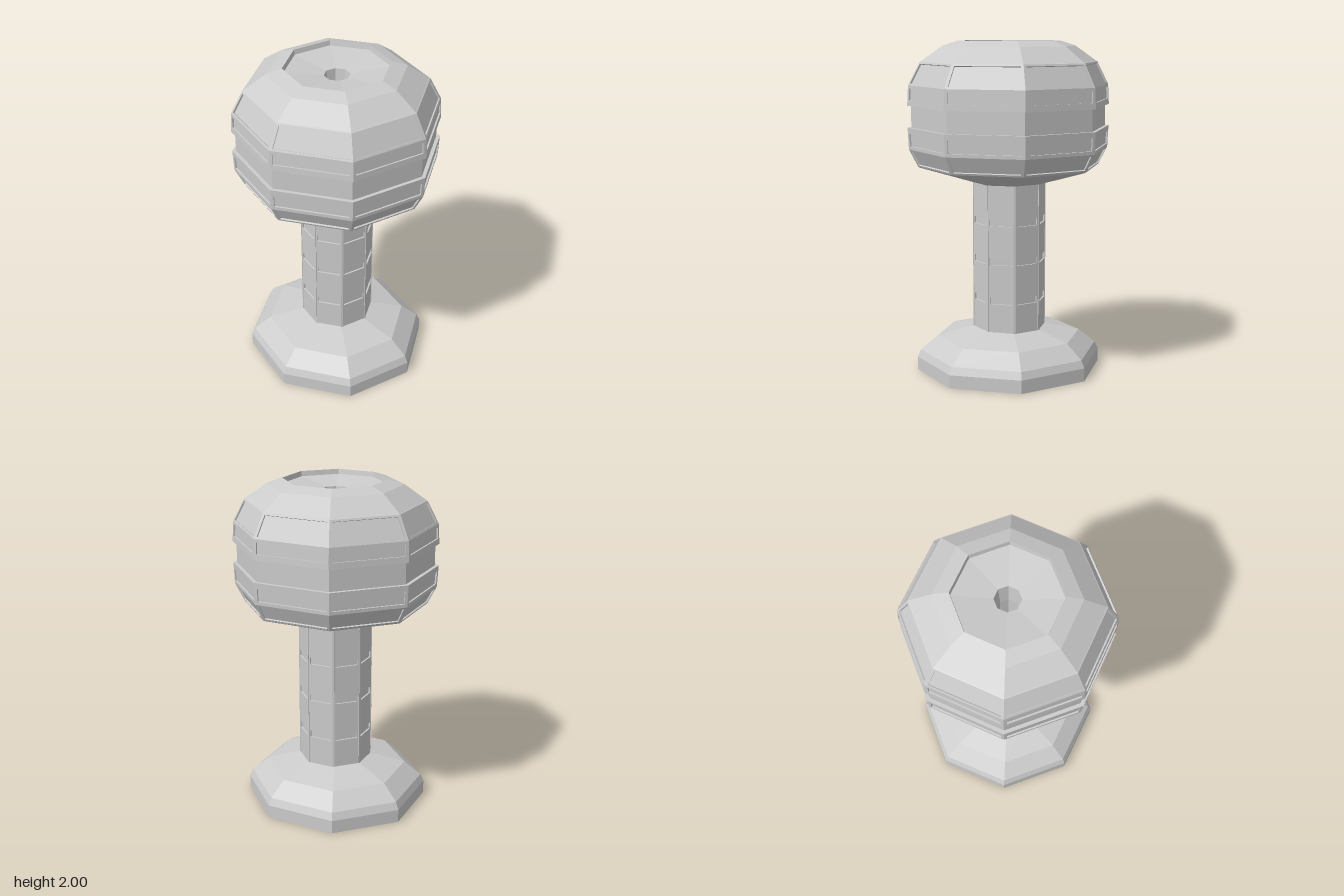
import * as THREE from 'three';

const SIDES = 8;
const grey = new THREE.MeshStandardMaterial({ color: 0xcccccc, flatShading: true });

// Corner k of an octagon with flats facing the axes; r is the centre-to-flat distance
function corner(r, y, k) {
  const a = ((k + 0.5) / SIDES) * Math.PI * 2;
  const R = r / Math.cos(Math.PI / SIDES);
  return new THREE.Vector3(R * Math.sin(a), y, R * Math.cos(a));
}

// Octagonal shell from a profile of [r, y, panel] running down the outside.
// A panel sinks a framed field into the faces between that point and the next.
function octagonShell(name, profile) {
  const pos = [];
  const quad = (a, b, c, d) => [a, b, c, a, c, d].forEach((p) => pos.push(p.x, p.y, p.z));
  for (let i = 0; i < profile.length - 1; i++) {
    const [r0, y0, panel] = profile[i];
    const [r1, y1] = profile[i + 1];
    for (let k = 0; k < SIDES; k++) {
      const outer = [corner(r1, y1, k), corner(r1, y1, k + 1), corner(r0, y0, k + 1), corner(r0, y0, k)];
      if (!panel) {
        quad(...outer);
        continue;
      }
      const [bl, br, tr, tl] = outer;
      const height = Math.hypot(r1 - r0, y1 - y0);
      const across = br.clone().sub(bl).normalize();
      const normal = across.clone().cross(tl.clone().sub(bl)).normalize();
      const at = (low, high, t, shift) => low.clone().lerp(high, t).addScaledVector(across, shift);
      const lo = panel.bottom / height;
      const hi = 1 - panel.top / height;
      const rim = [
        at(bl, tl, lo, panel.side), at(br, tr, lo, -panel.side),
        at(br, tr, hi, -panel.side), at(bl, tl, hi, panel.side),
      ];
      const floor = rim.map((p) => p.clone().addScaledVector(normal, -panel.depth));
      for (let j = 0; j < 4; j++) {
        const n = (j + 1) % 4;
        quad(outer[j], outer[n], rim[n], rim[j]);
        quad(rim[j], rim[n], floor[n], floor[j]);
      }
      quad(...floor);
    }
  }
  const geometry = new THREE.BufferGeometry();
  geometry.setAttribute('position', new THREE.Float32BufferAttribute(pos, 3));
  geometry.computeVertexNormals();
  const mesh = new THREE.Mesh(geometry, grey);
  mesh.name = name;
  return mesh;
}

export function createModel() {
  const model = new THREE.Group();
  model.name = 'octagonalTower';

  const slope = { side: 0.016, top: 0.012, bottom: 0.012, depth: 0.01 };
  const upperWindow = { side: 0.018, top: 0.018, bottom: 0.035, depth: 0.01 };
  const lowerWindow = { side: 0.018, top: 0.035, bottom: 0.02, depth: 0.01 };

  // Head: dished top, framed window bands and a recessed waist between them
  model.add(octagonShell('head', [
    [0.07, 1.94], [0.28, 1.97], [0.285, 2.0], [0.37, 1.97], [0.487, 1.88],
    [0.494, 1.876, slope], [0.558, 1.74, upperWindow],
    [0.564, 1.62], [0.543, 1.62], [0.543, 1.49],
    [0.564, 1.49, lowerWindow], [0.558, 1.36, slope],
    [0.508, 1.255], [0.5, 1.25], [0.2, 1.155],
  ]));

  // Column: plain shaft with three rings of shallow recesses
  const slot = { side: 0.015, top: 0.002, bottom: 0.002, depth: 0.01 };
  const shaft = [[0.204, 1.17]];
  for (const y of [0.91, 0.675, 0.435]) shaft.push([0.204, y + 0.044, slot], [0.204, y]);
  shaft.push([0.204, 0.24]);
  model.add(octagonShell('column', shaft));

  // Slim ribs along the column corners
  const ribs = new THREE.Group();
  ribs.name = 'columnRibs';
  for (let k = 0; k < SIDES; k++) {
    const rib = new THREE.Mesh(new THREE.BoxGeometry(0.012, 0.895, 0.012), grey);
    rib.name = 'columnRib';
    rib.position.copy(corner(0.2, 0.7125, k));
    rib.rotation.y = ((k + 0.5) / SIDES) * Math.PI * 2;
    ribs.add(rib);
  }
  model.add(ribs);

  // Base: hollow flared foot with a nozzle hanging in its middle
  const base = octagonShell('base', [
    [0.19, 0.268], [0.4, 0.21], [0.495, 0.125], [0.514, 0.08], [0.514, 0.04], [0.514, 0],
    [0.495, 0], [0.495, 0.075], [0.478, 0.115], [0.39, 0.192], [0.2, 0.24],
    [0.12, 0.2], [0.078, 0.14], [0.07, 0.08], [0.058, 0.01],
  ]);
  base.scale.set(0.988, 1, 1.025);
  base.position.x = -0.006;
  model.add(base);

  // Bore running through the whole tower
  model.add(octagonShell('bore', [[0.057, 0.01], [0.057, 1.8], [0.07, 1.94]]));

  return model;
}
